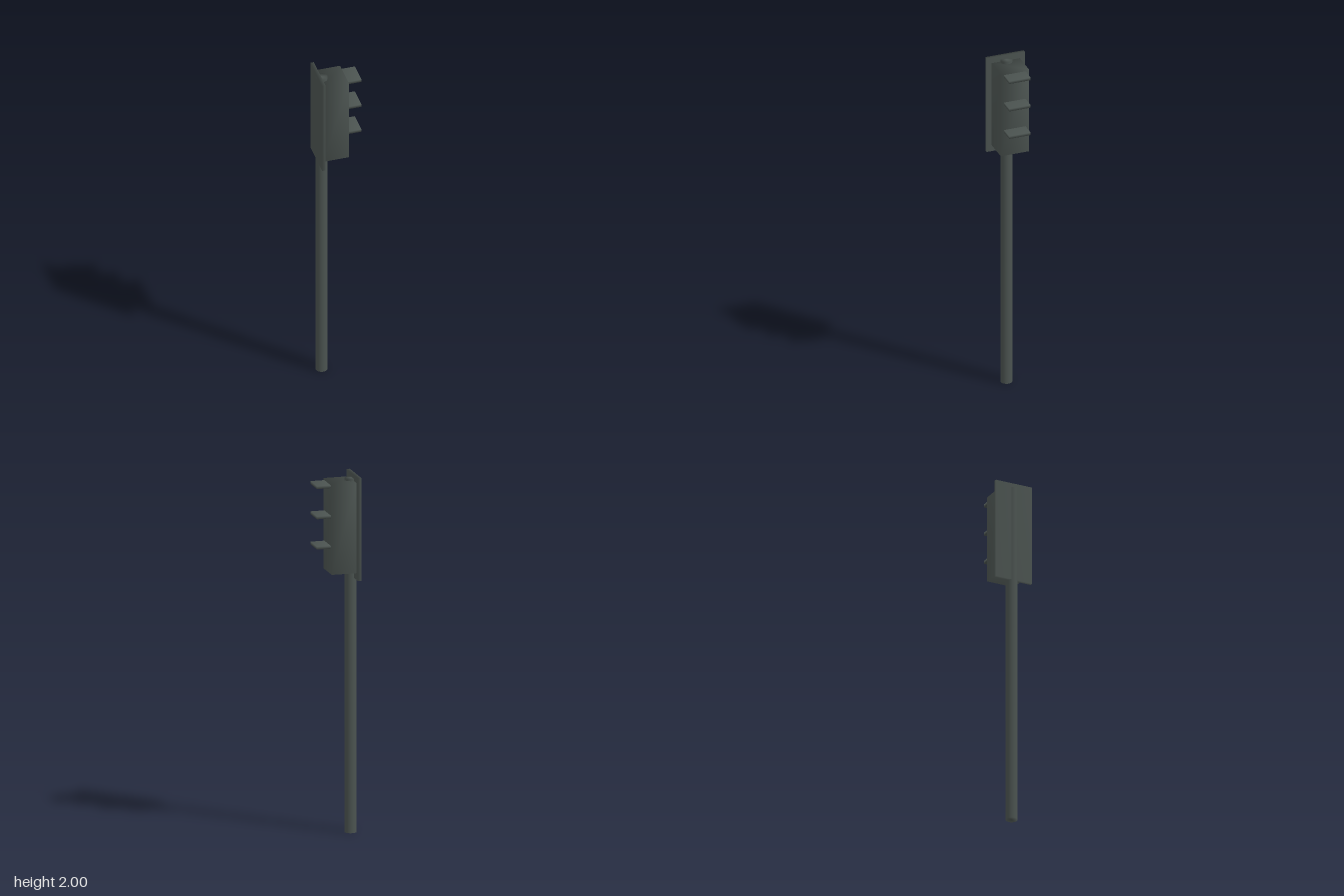
import * as THREE from 'three';
import { mergeVertices } from 'three/addons/utils/BufferGeometryUtils.js';

const material = new THREE.MeshStandardMaterial({ color: 0x4b5350 });

// Shares corners between faces so shading blends across the edges
function soften(geometry) {
  geometry.deleteAttribute('normal');
  geometry.deleteAttribute('uv');
  const merged = mergeVertices(geometry, 1e-4);
  merged.computeVertexNormals();
  return merged;
}

// Box given by its limits in x and y, and its half width in z
function box(name, x0, x1, y0, y1, halfZ) {
  const geometry = new THREE.BoxGeometry(x1 - x0, y1 - y0, halfZ * 2);
  const mesh = new THREE.Mesh(soften(geometry), material);
  mesh.name = name;
  mesh.position.set((x0 + x1) / 2, (y0 + y1) / 2, 0);
  return mesh;
}

export function createModel() {
  const group = new THREE.Group();
  group.name = 'trafficLight';

  // Pole running from the ground up through the housing
  const poleHeight = 1.978;
  const pole = new THREE.Mesh(
    soften(new THREE.CylinderGeometry(0.033, 0.033, poleHeight, 24)), material);
  pole.name = 'pole';
  pole.position.set(-0.088, poleHeight / 2, 0);
  group.add(pole);

  // Signal housing and its backing plate
  group.add(box('housing', -0.1, 0.042, 1.463, 1.966, 0.082));
  group.add(box('backPlate', -0.117, -0.098, 1.425, 2, 0.111));

  // Three flat visors above the lamp positions
  for (const [i, y] of [1.951, 1.782, 1.613].entries()) {
    group.add(box(`visor${i + 1}`, 0.035, 0.12, y - 0.008, y + 0.008, 0.062));
  }
  return group;
}
